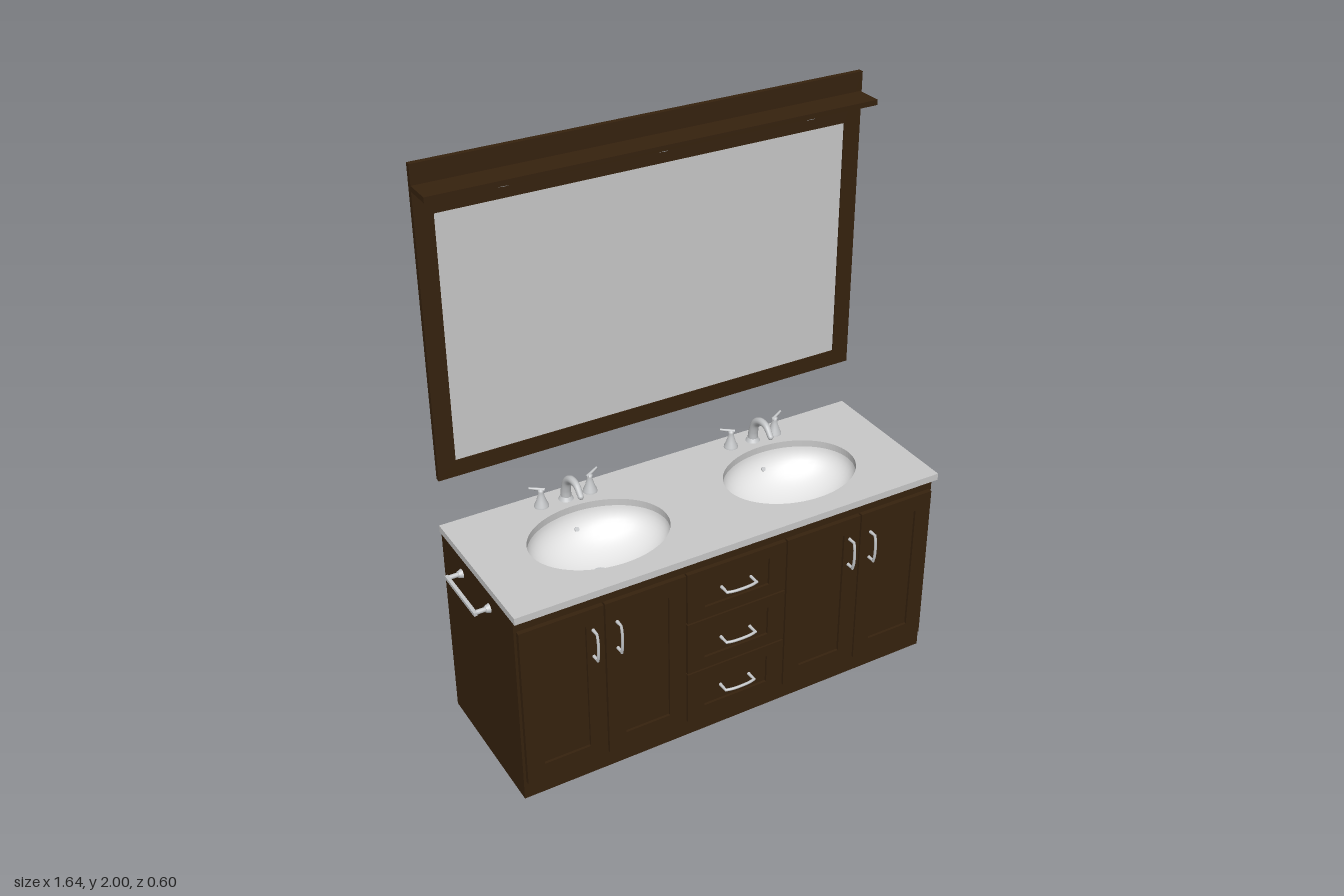
import * as THREE from 'three';

const mat = (name, color, side = THREE.FrontSide) => {
  const m = new THREE.MeshStandardMaterial({ color, side });
  m.name = name;
  return m;
};

export function createModel() {
  const root = new THREE.Group();
  root.name = 'bathroomVanity';
  const wood = mat('dark wood', 0x36220e);
  const stone = mat('grey stone', 0xc8c8c8);
  const glass = mat('mirror glass', 0xc8c8c8);
  const porcelain = mat('porcelain', 0xe4e4e4, THREE.DoubleSide);
  const metal = mat('brushed metal', 0xc4c6c8);

  const add = (name, geo, m, parent = root) => {
    const mesh = new THREE.Mesh(geo, m);
    mesh.name = name;
    parent.add(mesh);
    return mesh;
  };
  const group = (name, parent = root) => {
    const g = new THREE.Group();
    g.name = name;
    parent.add(g);
    return g;
  };
  // Box given by its limits on each axis
  const box = (name, x0, x1, y0, y1, z0, z1, m, parent) => {
    const mesh = add(name, new THREE.BoxGeometry(x1 - x0, y1 - y0, z1 - z0), m, parent);
    mesh.position.set((x0 + x1) / 2, (y0 + y1) / 2, (z0 + z1) / 2);
    return mesh;
  };
  const rect = (target, x0, x1, y0, y1) =>
    target.moveTo(x0, y0).lineTo(x1, y0).lineTo(x1, y1).lineTo(x0, y1).closePath();
  // Rectangular frame with a rectangular opening
  const frame = (name, [x0, x1, y0, y1], [a0, a1, b0, b1], z0, depth, parent) => {
    const s = new THREE.Shape();
    rect(s, x0, x1, y0, y1);
    const hole = new THREE.Path();
    rect(hole, a0, a1, b0, b1);
    s.holes.push(hole);
    const mesh = add(name, new THREE.ExtrudeGeometry(s, { depth, bevelEnabled: false }), wood, parent);
    mesh.position.z = z0;
  };
  // Tube along points whose radius changes from r0 to r1
  const taperedTube = (pts, r0, r1, seg = 24, sides = 12) => {
    const curve = new THREE.CatmullRomCurve3(pts.map(p => new THREE.Vector3(...p)));
    const geo = new THREE.TubeGeometry(curve, seg, 1, sides);
    const pos = geo.attributes.position, v = new THREE.Vector3();
    for (let i = 0; i < pos.count; i++) {
      const u = Math.floor(i / (sides + 1)) / seg;
      const c = curve.getPointAt(u);
      v.fromBufferAttribute(pos, i).sub(c).multiplyScalar(r0 + (r1 - r0) * u).add(c);
      pos.setXYZ(i, v.x, v.y, v.z);
    }
    return geo;
  };

  // Hollow cabinet, open beneath the counter for the bowls
  const cabinet = group('cabinet');
  box('cabinetFront', -0.765, 0.813, 0, 0.725, 0.225, 0.244, wood, cabinet);
  box('cabinetBack', -0.765, 0.813, 0, 0.725, -0.298, -0.28, wood, cabinet);
  box('cabinetSideRight', -0.765, -0.745, 0, 0.725, -0.28, 0.225, wood, cabinet);
  box('cabinetSideLeft', 0.793, 0.813, 0, 0.725, -0.28, 0.225, wood, cabinet);
  box('cabinetBottom', -0.745, 0.793, 0, 0.02, -0.28, 0.225, wood, cabinet);

  // Framed doors and drawer fronts with recessed panels
  const front = (name, x0, x1, y0, y1, w, h) => {
    const g = group(name, cabinet);
    frame(name + 'Frame', [x0, x1, y0, y1], [x0 + w, x1 - w, y0 + h, y1 - h], 0.244, 0.016, g);
    box(name + 'Panel', x0 + w, x1 - w, y0 + h, y1 - h, 0.244, 0.251, wood, g);
  };
  [[-0.756, -0.466], [-0.46, -0.17], [0.217, 0.507], [0.513, 0.803]].forEach(([a, b]) =>
    front('door', a, b, 0.07, 0.678, 0.062, 0.06));
  [[0.07, 0.27], [0.276, 0.477], [0.483, 0.678]].forEach(([a, b]) =>
    front('drawer', -0.164, 0.211, a, b, 0.064, 0.045));

  // Bowed pull handles
  const pull = (x, y, z, length, turned) => {
    const g = group(turned ? 'doorHandle' : 'drawerHandle');
    const h = length / 2, d = 0.298 - z;
    add('handleGrip', taperedTube([[-h, 0, d - 0.012], [-h * 0.6, 0, d - 0.006], [0, 0, d - 0.004],
      [h * 0.6, 0, d - 0.006], [h, 0, d - 0.012]], 0.005, 0.005, 16, 8), metal, g);
    for (const s of [-1, 1]) {
      const post = add('handlePost', new THREE.CylinderGeometry(0.0045, 0.006, d - 0.009, 10), metal, g);
      post.rotation.x = Math.PI / 2;
      post.position.set(s * (h - 0.003), 0, (d - 0.009) / 2);
    }
    g.position.set(x, y, z);
    if (turned) g.rotation.z = Math.PI / 2;
  };
  for (const x of [-0.505, -0.42, 0.466, 0.552]) pull(x, 0.545, 0.26, 0.11, true);
  for (const y of [0.172, 0.375, 0.58]) pull(0.024, y, 0.251, 0.118, false);

  // Towel bar on the end of the cabinet
  const towel = group('towelBar');
  box('towelRail', -0.821, -0.809, 0.65, 0.662, -0.152, 0.077, metal, towel);
  for (const z of [-0.143, 0.067]) {
    const arm = add('towelArm', new THREE.CylinderGeometry(0.008, 0.008, 0.045, 16), metal, towel);
    arm.rotation.z = Math.PI / 2;
    arm.position.set(-0.788, 0.656, z);
    const plate = add('towelPlate', new THREE.CylinderGeometry(0.011, 0.016, 0.014, 20), metal, towel);
    plate.rotation.z = Math.PI / 2;
    plate.position.set(-0.772, 0.656, z);
  }

  // Counter with two oval cut-outs
  const basins = [-0.343, 0.39];
  const top = new THREE.Shape();
  rect(top, -0.77, 0.817, -0.27, 0.3);
  for (const x of basins) {
    const oval = new THREE.Path();
    oval.absellipse(x, -0.002, 0.243, 0.184, 0, Math.PI * 2, true);
    top.holes.push(oval);
  }
  const counter = add('countertop',
    new THREE.ExtrudeGeometry(top, { depth: 0.025, bevelEnabled: false, curveSegments: 48 }), stone);
  counter.rotation.x = -Math.PI / 2;
  counter.position.y = 0.725;

  // Bowl profile of unit radius, stretched to an oval
  const profile = [];
  for (let i = 0; i <= 16; i++) {
    const a = (i / 16) * Math.PI / 2;
    profile.push(new THREE.Vector2(Math.sin(a), -0.135 * Math.cos(a)));
  }

  for (const x of basins) {
    const sink = group('sink');
    sink.position.set(x, 0, 0.002);
    const bowl = add('sinkBowl', new THREE.LatheGeometry(profile, 48), porcelain, sink);
    bowl.scale.set(0.245, 1, 0.186);
    bowl.position.y = 0.728;
    const drain = add('drain', new THREE.CylinderGeometry(0.026, 0.026, 0.006, 24), metal, sink);
    drain.position.y = 0.594;
    const overflow = add('overflow', new THREE.CylinderGeometry(0.008, 0.008, 0.006, 16), metal, sink);
    overflow.position.set(0, 0.668, -0.164);
    overflow.rotation.x = 1.0;

    // Arched spout with a flared foot
    const faucet = group('faucet');
    faucet.position.set(x, 0.75, -0.235);
    add('spout', taperedTube([[0, 0, 0], [0, 0.04, 0.003], [0, 0.08, 0.018], [0, 0.1, 0.05],
      [0, 0.098, 0.085], [0, 0.07, 0.113]], 0.019, 0.01), metal, faucet);
    const tip = add('spoutTip', new THREE.SphereGeometry(0.01, 12, 8), metal, faucet);
    tip.position.set(0, 0.07, 0.113);
    const foot = add('spoutFoot', new THREE.CylinderGeometry(0.018, 0.026, 0.014, 24), metal, faucet);
    foot.position.y = 0.007;

    // Flared taps with levers pointing outward
    const flare = [[0.025, 0], [0.024, 0.006], [0.017, 0.022], [0.011, 0.042], [0.009, 0.055],
      [0.01, 0.064], [0, 0.068]].map(p => new THREE.Vector2(...p));
    for (const s of [-1, 1]) {
      const tap = group('tap', faucet);
      tap.position.x = s * 0.09;
      add('tapBody', new THREE.LatheGeometry(flare, 24), metal, tap);
      add('tapLever', taperedTube([[-s * 0.012, 0.062, 0.004], [s * 0.01, 0.066, -0.006],
        [s * 0.036, 0.071, -0.018]], 0.006, 0.004, 10, 8), metal, tap);
    }
  }

  // Mirror with backing, frame and glass
  const mirror = group('mirror');
  box('mirrorBacking', -0.763, 0.813, 0.928, 2, -0.3, -0.292, wood, mirror);
  frame('mirrorFrame', [-0.763, 0.813, 0.928, 2], [-0.7, 0.75, 0.986, 1.835], -0.292, 0.01, mirror);
  box('mirrorGlass', -0.7, 0.75, 0.986, 1.835, -0.292, -0.286, glass, mirror);

  // Shelf above the mirror with round lamps beneath
  const shelf = group('shelf');
  box('shelfBoard', -0.763, 0.808, 1.916, 1.934, -0.284, -0.186, wood, shelf);
  for (const x of [-0.51, 0.024, 0.56]) {
    const lamp = add('shelfLamp', new THREE.CylinderGeometry(0.042, 0.038, 0.007, 32), metal, shelf);
    lamp.position.set(x, 1.9125, -0.235);
  }
  return root;
}
